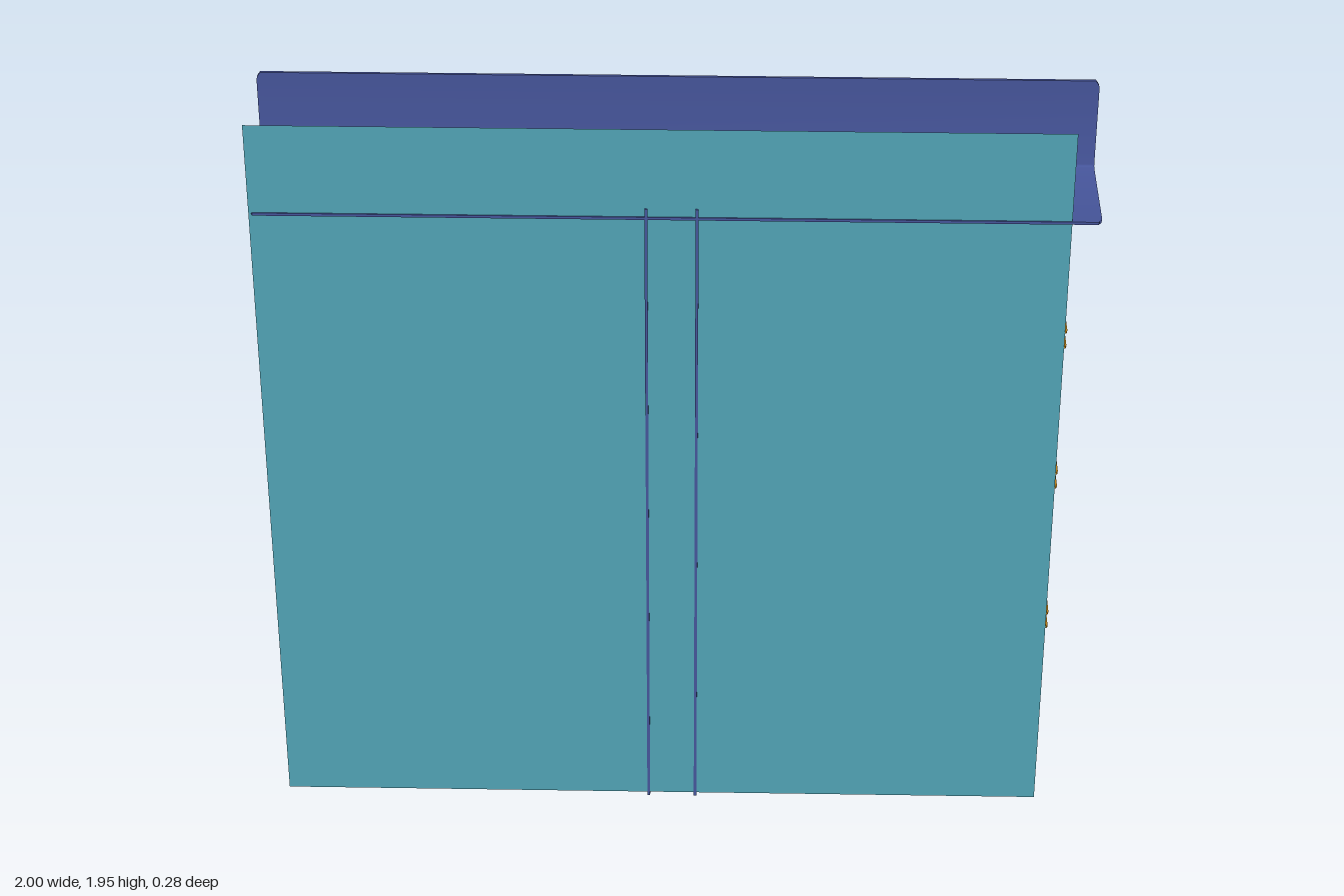
import * as THREE from 'three';
import { toCreasedNormals } from 'three/addons/utils/BufferGeometryUtils.js';

const TEAL = new THREE.MeshStandardMaterial({ color: 0x50a2b4, side: THREE.DoubleSide });
const INDIGO = new THREE.MeshStandardMaterial({ color: 0x455499 });
const ORANGE = new THREE.MeshStandardMaterial({ color: 0xb97a10 });

// Centre line of a folded sheet: corners rounded by r, extra samples near both free edges
function foldedPath(corners, r, tipRadius) {
  const pts = corners.map(([x, y]) => new THREE.Vector2(x, y));
  const toward = (a, b, d) => a.clone().add(b.clone().sub(a).setLength(d));
  const n = pts.length - 1;
  const samples = [0, 0.1, 0.3, 0.6, 1].map((f) => f * tipRadius);
  const path = samples.map((d) => (d ? toward(pts[0], pts[1], d) : pts[0].clone()));
  for (let i = 1; i < n; i++) {
    const bend = new THREE.QuadraticBezierCurve(
      toward(pts[i], pts[i - 1], r), pts[i], toward(pts[i], pts[i + 1], r));
    path.push(...bend.getPoints(5));
  }
  samples.reverse().forEach((d) => path.push(d ? toward(pts[n], pts[n - 1], d) : pts[n].clone()));
  return path;
}

// Folded sheet profile extruded along z, with the outer corners of its flanges rounded
function foldedSheet(corners, length, { thickness = 0.007, bend = 0.016, tipRadius = 0.016 } = {}) {
  const path = foldedPath(corners, bend, tipRadius);
  const sides = [[], []];
  path.forEach((p, i) => {
    const a = path[Math.max(i - 1, 0)], b = path[Math.min(i + 1, path.length - 1)];
    const t = b.clone().sub(a).normalize().multiplyScalar(thickness / 2);
    sides[0].push(new THREE.Vector2(p.x - t.y, p.y + t.x));
    sides[1].push(new THREE.Vector2(p.x + t.y, p.y - t.x));
  });
  const shape = new THREE.Shape([...sides[0], ...sides[1].reverse()]);
  const geo = new THREE.ExtrudeGeometry(shape, { depth: length, bevelEnabled: false });
  geo.translate(0, 0, -length / 2);

  // Pull the ends in along a quarter circle close to the free edges
  const pos = geo.attributes.position;
  const tips = [path[0], path[path.length - 1]];
  const v = new THREE.Vector2();
  for (let i = 0; i < pos.count; i++) {
    v.set(pos.getX(i), pos.getY(i));
    const d = Math.min(...tips.map((t) => t.distanceTo(v)));
    if (d >= tipRadius) continue;
    const pull = tipRadius - Math.sqrt(tipRadius ** 2 - (tipRadius - d) ** 2);
    const z = pos.getZ(i);
    pos.setZ(i, z - Math.sign(z) * pull);
  }
  return toCreasedNormals(geo, 0.6);
}

function addMesh(group, name, geometry, material) {
  const mesh = new THREE.Mesh(geometry, material);
  mesh.name = name;
  group.add(mesh);
  return mesh;
}

export function createModel() {
  const model = new THREE.Group();
  model.name = 'stiffenedPanel';

  // Thin flat front panel
  const panel = addMesh(model, 'panel', new THREE.PlaneGeometry(1.93, 1.93), TEAL);
  panel.position.set(-0.035, 0.98, 0.137);

  // Upright U channel, open to the panel
  const post = foldedSheet(
    [[-0.067, -0.14], [-0.067, 0.078], [0.053, 0.078], [0.053, -0.14]], 1.742);
  post.rotateX(-Math.PI / 2);
  addMesh(model, 'post', post, INDIGO).position.y = 0.871;

  // Angle rail across the top: flat flange and upstand at the back
  const rail = foldedSheet([[-0.14, 1.712], [0.137, 1.712], [0.137, 1.945]], 2, { tipRadius: 0.02 });
  rail.rotateY(Math.PI / 2);
  addMesh(model, 'topRail', rail, INDIGO);

  // Shallow C-channel ribs on either side of the post, closed at the back
  const ribs = new THREE.Group();
  ribs.name = 'ribs';
  model.add(ribs);
  const addRibs = (name, tops, x0, x1) => tops.forEach((top, i) => {
    const hi = top - 0.003, lo = top - 0.044;
    const rib = foldedSheet([[-0.135, hi], [0.067, hi], [0.067, lo], [-0.135, lo]],
      x1 - x0, { thickness: 0.005, bend: 0.009, tipRadius: 0.008 });
    rib.rotateY(Math.PI / 2);
    addMesh(ribs, name + (i + 1), rib, ORANGE).position.x = (x0 + x1) / 2;
  });
  addRibs('leftRib', [1.415, 1.015, 0.597], 0.056, 0.936);
  addRibs('rightRib', [1.275, 0.765], -0.87, -0.07);

  return model;
}
